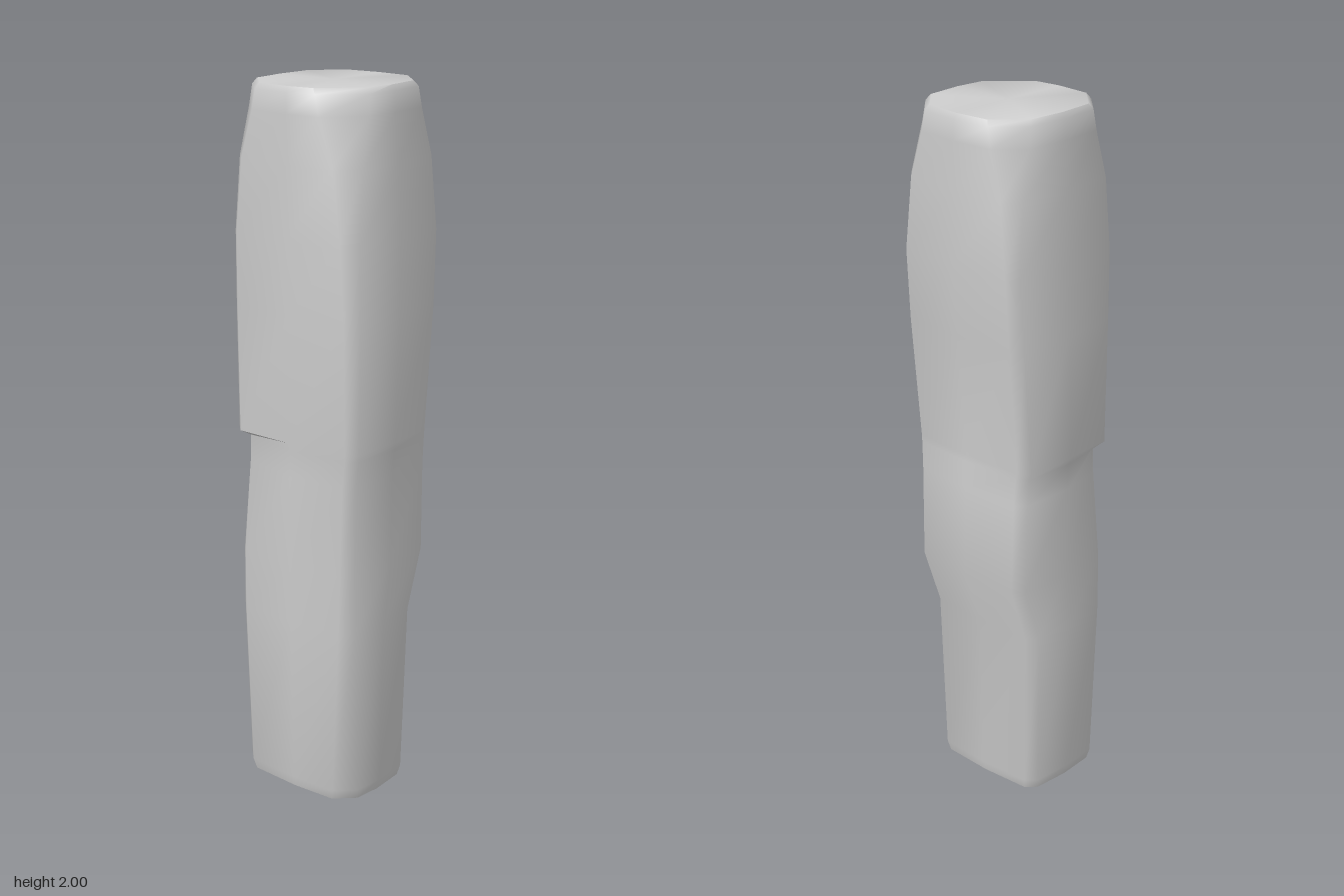
import * as THREE from 'three';
import { toCreasedNormals } from 'three/addons/utils/BufferGeometryUtils.js';

// Cross-sections: height, x range, z range
const sections = [
  [0.00, -0.200, 0.175, -0.105, 0.175],
  [0.03, -0.207, 0.182, -0.112, 0.182],
  [0.52, -0.215, 0.194, -0.122, 0.194],
  [0.69, -0.216, 0.197, -0.178, 0.197],
  [0.95, -0.214, 0.206, -0.168, 0.200],
  [1.025, -0.214, 0.214, -0.162, 0.200],
  [1.045, -0.220, 0.216, -0.161, 0.202],
  [1.40, -0.220, 0.220, -0.190, 0.206],
  [1.60, -0.219, 0.213, -0.207, 0.207],
  [1.80, -0.214, 0.205, -0.204, 0.204],
  [1.93, -0.207, 0.195, -0.202, 0.202],
  [1.985, -0.203, 0.190, -0.200, 0.200],
  [2.00, -0.194, 0.180, -0.191, 0.191],
];
const sides = 12;

// Twelve points: two per cut corner and one slightly swollen point per side
function ring([y, x0, x1, z0, z1]) {
  const swell = 0.008;
  const xm = (x0 + x1) / 2, zm = (z0 + z1) / 2;
  // Corners are cut deeper towards the top, the front +x one also at the foot
  const cut = 0.035 + 0.05 * THREE.MathUtils.smoothstep(y, 1.7, 2);
  const frontCut = cut + 0.025 * Math.abs(y - 1) ** 2;
  // The front -x corner is carved back up to a ledge just above mid-height
  const notch = y < 1.03 ? 0.035 * THREE.MathUtils.smoothstep(y, 0.6, 1.03) : 0;
  const foot = y < 0.1 ? 0.03 : 0;
  return [
    [xm, z1], [x1 - frontCut, z1 - swell], [x1 - swell, z1 - frontCut],
    [x1, zm], [x1 - swell, z0 + cut], [x1 - cut, z0 + swell],
    [xm, z0], [x0 + cut, z0 + swell], [x0 + swell, z0 + cut],
    [x0, zm], [x0 + swell + notch * 0.3, z1 - cut - notch], [x0 + cut, z1 - swell - notch],
  ].map(([x, z]) => [x, y + (x1 - x) * foot, z]);
}

function loft(rows) {
  const positions = rows.flatMap(r => ring(r).flat()), index = [];
  const last = rows.length - 1;
  for (let i = 0; i < last; i++) {
    for (let j = 0; j < sides; j++) {
      const a = i * sides + j, b = i * sides + (j + 1) % sides;
      index.push(a, b, b + sides, a, b + sides, a + sides);
    }
  }
  // End caps as fans around a central point
  for (const i of [0, last]) {
    const [y, x0, x1, z0, z1] = rows[i], c = positions.length / 3;
    positions.push((x0 + x1) / 2, i ? y : 0.006, (z0 + z1) / 2);
    for (let j = 0; j < sides; j++) {
      const a = i * sides + j, b = i * sides + (j + 1) % sides;
      if (i) index.push(c, a, b);
      else index.push(c, b, a);
    }
  }
  const geometry = new THREE.BufferGeometry();
  geometry.setAttribute('position', new THREE.Float32BufferAttribute(positions, 3));
  geometry.setIndex(index);
  return toCreasedNormals(geometry, 0.95);
}

export function createModel() {
  const group = new THREE.Group();
  group.name = 'carvedPost';
  const post = new THREE.Mesh(loft(sections), new THREE.MeshStandardMaterial({ color: 0xcccccc }));
  post.name = 'post';
  group.add(post);
  return group;
}
